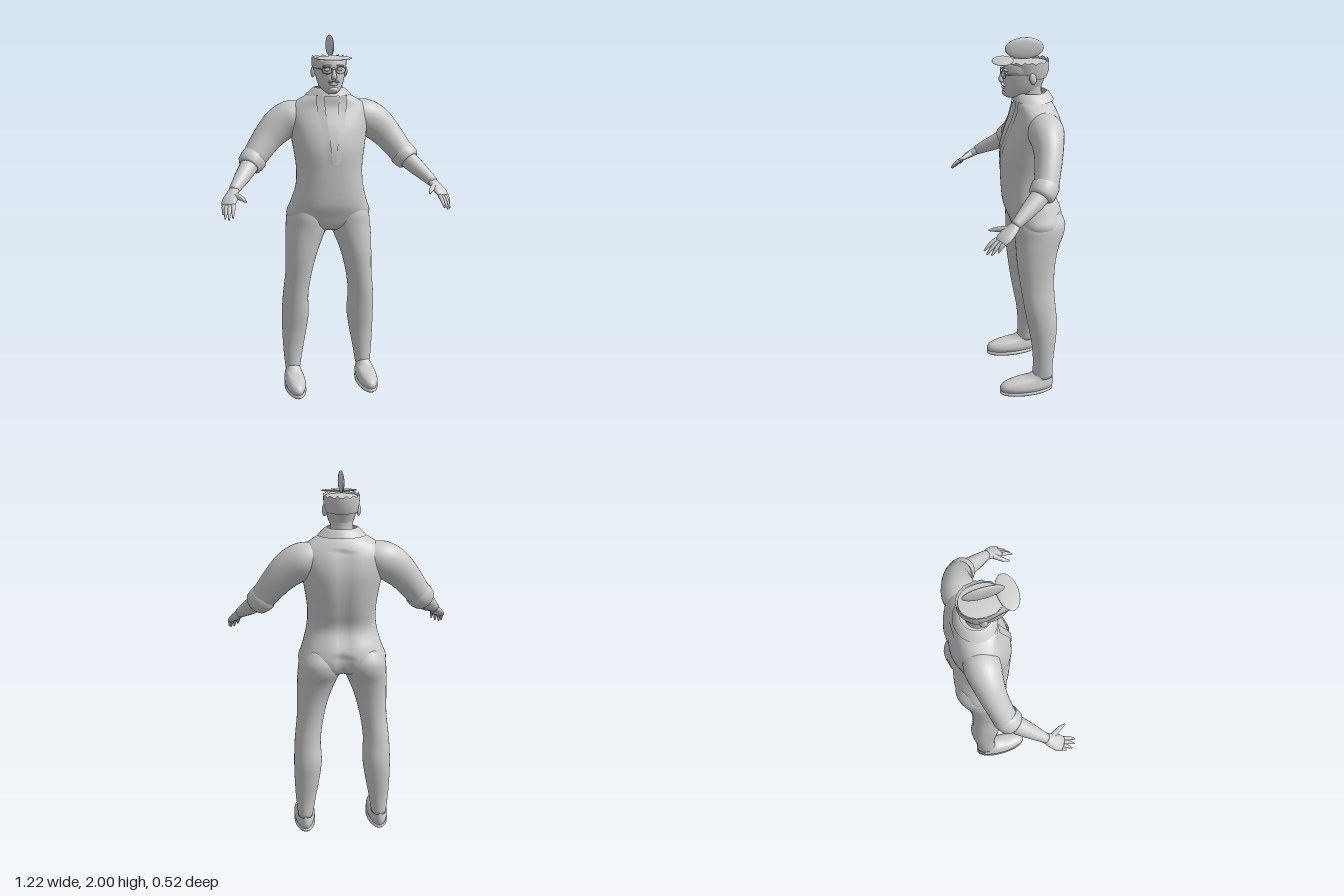
import * as THREE from 'three';

const grey = new THREE.MeshStandardMaterial({ color: 0xcccccc, side: THREE.DoubleSide });
grey.name = 'light grey';
const V = (x, y, z) => new THREE.Vector3(x, y, z);

function add(parent, name, geometry, pos = [0, 0, 0], scale = [1, 1, 1], rot = [0, 0, 0]) {
  const m = new THREE.Mesh(geometry, grey);
  m.name = name;
  m.position.set(...pos);
  m.scale.set(...scale);
  m.rotation.set(...rot);
  parent.add(m);
  return m;
}

// Skin over rings; each ring has centre c, axes u and v, and optional squareness e
function skin(rings, n, capped = true) {
  const pos = [], idx = [];
  for (const { c, u, v, e = 2 } of rings) {
    for (let j = 0; j < n; j++) {
      const t = (j / n) * Math.PI * 2, co = Math.cos(t), si = Math.sin(t);
      const p = c.clone()
        .addScaledVector(u, Math.sign(co) * Math.abs(co) ** (2 / e))
        .addScaledVector(v, Math.sign(si) * Math.abs(si) ** (2 / e));
      pos.push(p.x, p.y, p.z);
    }
  }
  for (let i = 0; i < rings.length - 1; i++) {
    for (let j = 0; j < n; j++) {
      const a = i * n + j, b = i * n + (j + 1) % n;
      idx.push(a, b, a + n, b, b + n, a + n);
    }
  }
  if (capped) {
    const last = rings.length - 1, k = rings.length * n;
    for (const r of [rings[0], rings[last]]) pos.push(r.c.x, r.c.y, r.c.z);
    for (let j = 0; j < n; j++) {
      const q = (j + 1) % n;
      idx.push(k, q, j, k + 1, last * n + j, last * n + q);
    }
  }
  const g = new THREE.BufferGeometry();
  g.setAttribute('position', new THREE.Float32BufferAttribute(pos, 3));
  g.setIndex(idx);
  g.computeVertexNormals();
  return g;
}

// Smoothly resample rows of numbers
function resample(rows, steps) {
  if (steps < 2) return rows;
  const out = [], at = i => rows[Math.max(0, Math.min(rows.length - 1, i))];
  for (let i = 0; i < rows.length - 1; i++) {
    for (let s = 0; s < steps; s++) {
      const t = s / steps;
      out.push(rows[i].map((p, k) => {
        const m0 = (at(i + 1)[k] - at(i - 1)[k]) / 2, m1 = (at(i + 2)[k] - p) / 2, q = at(i + 1)[k];
        return (2 * t ** 3 - 3 * t * t + 1) * p + (t ** 3 - 2 * t * t + t) * m0
          + (3 * t * t - 2 * t ** 3) * q + (t ** 3 - t * t) * m1;
      }));
    }
  }
  out.push(rows[rows.length - 1]);
  return out;
}

// Upright body from rows [y, centre x, half width, front z, back z]
function upright(rows, n = 32, steps = 4, e = 2, capped = true) {
  return skin(resample(rows, steps).map(([y, x, a, f, b]) => ({
    c: V(x, y, (f + b) / 2), u: V(a, 0, 0), v: V(0, 0, (b - f) / 2), e,
  })), n, capped);
}

// Limb along rows [x, y, z, radius along hint, radius across]
function limb(rows, hint, n = 20, steps = 4, capped = true) {
  const r = resample(rows, steps);
  return skin(r.map(([x, y, z, a, b], i) => {
    const p = r[Math.max(0, i - 1)], q = r[Math.min(r.length - 1, i + 1)];
    const t = V(q[0] - p[0], q[1] - p[1], q[2] - p[2]).normalize();
    const u = hint.clone().addScaledVector(t, -hint.dot(t)).normalize();
    return { c: V(x, y, z), v: t.clone().cross(u).multiplyScalar(b), u: u.multiplyScalar(a) };
  }), n, capped);
}

function makeTorso() {
  const g = upright([
    [0.94, 0, 0.12, -0.04, -0.17], [0.97, 0, 0.19, 0.0, -0.235], [1.03, 0, 0.235, 0.025, -0.26],
    [1.1, 0, 0.212, 0.05, -0.25], [1.2, 0, 0.186, 0.06, -0.208], [1.3, 0, 0.182, 0.065, -0.23],
    [1.4, 0, 0.195, 0.065, -0.25], [1.5, 0, 0.212, 0.042, -0.257], [1.58, 0, 0.222, 0.01, -0.242],
    [1.63, 0, 0.2, -0.008, -0.222], [1.67, 0, 0.145, -0.01, -0.2], [1.7, 0, 0.08, -0.015, -0.17],
  ], 48, 4, 2.3);
  // Groove down the spine, deeper at the seat
  const p = g.attributes.position;
  for (let i = 0; i < p.count; i++) {
    const y = p.getY(i);
    if (p.getZ(i) < -0.15 && y < 1.62) {
      p.setZ(i, p.getZ(i) + (y < 1.08 ? 0.03 : 0.012) * Math.exp(-((p.getX(i) / 0.035) ** 2)));
    }
  }
  g.computeVertexNormals();
  return g;
}

function makeHead() {
  const head = new THREE.Group();
  head.name = 'head';
  const ball = new THREE.SphereGeometry(1, 24, 16);
  add(head, 'neck', upright([[1.64, 0, 0.068, -0.02, -0.17], [1.71, 0, 0.058, -0.03, -0.15],
    [1.77, 0, 0.06, -0.03, -0.15]], 24));
  add(head, 'face', upright([
    [1.7, 0, 0.022, 0.035, -0.04], [1.712, 0, 0.04, 0.05, -0.1], [1.735, 0, 0.058, 0.052, -0.14],
    [1.77, 0, 0.071, 0.05, -0.155], [1.81, 0, 0.08, 0.048, -0.17], [1.85, 0, 0.086, 0.046, -0.18],
    [1.875, 0, 0.084, 0.04, -0.178]], 32, 3, 2.2));
  add(head, 'nose', limb([[0, 1.835, 0.045, 0.008, 0.008], [0, 1.81, 0.058, 0.01, 0.011],
    [0, 1.79, 0.062, 0.015, 0.012], [0, 1.781, 0.053, 0.01, 0.007]], V(1, 0, 0), 14));
  add(head, 'lips', ball, [0, 1.752, 0.05], [0.022, 0.007, 0.009]);
  add(head, 'chin', ball, [0, 1.724, 0.04], [0.027, 0.018, 0.017]);
  // Cropped hair with a ragged rim
  const hair = upright([[1.8, 0, 0.081, 0.0, -0.173], [1.84, 0, 0.091, 0.02, -0.187],
    [1.888, 0, 0.094, 0.03, -0.186]], 40, 1, 2.1, false);
  const p = hair.attributes.position;
  for (let i = 80; i < 120; i++) p.setY(i, 1.886 + 0.007 * Math.sin(i * 2.3));
  hair.computeVertexNormals();
  add(head, 'hair', hair);
  for (const s of [1, -1]) {
    add(head, 'ear', ball, [s * 0.087, 1.808, -0.085], [0.012, 0.03, 0.019], [0.15, s * 0.3, 0]);
    add(head, 'moustache', ball, [s * 0.014, 1.769, 0.053], [0.018, 0.006, 0.009], [0, s * 0.3, -s * 0.3]);
    add(head, 'eye', ball, [s * 0.033, 1.828, 0.041], [0.014, 0.009, 0.007]);
    add(head, 'eyebrow', ball, [s * 0.035, 1.847, 0.044], [0.022, 0.005, 0.008], [0, s * 0.3, -s * 0.1]);
    add(head, 'spectacleRim', new THREE.TorusGeometry(0.024, 0.0025, 8, 24),
      [s * 0.036, 1.825, 0.056], [1.1, 0.75, 1], [0, s * 0.2, 0]);
    add(head, 'spectacleArm', limb([[s * 0.062, 1.832, 0.053, 0.002, 0.003],
      [s * 0.09, 1.83, -0.08, 0.002, 0.003]], V(1, 0, 0), 8, 1));
  }
  add(head, 'spectacleBridge', new THREE.BoxGeometry(0.022, 0.004, 0.004), [0, 1.83, 0.059]);
  // Flat oval visor and upright oval crest
  add(head, 'visor', ball, [0, 1.887, 0.053], [0.096, 0.008, 0.053], [0.12, 0, 0]);
  add(head, 'crest', ball, [0, 1.945, -0.06], [0.014, 0.055, 0.1]);
  return head;
}

function makeArm(s) {
  const arm = new THREE.Group();
  arm.name = s > 0 ? 'leftArm' : 'rightArm';
  const side = rows => rows.map(([x, ...r]) => [s * x, ...r]);
  const fwd = V(0, 0, 1);
  add(arm, 'sleeve', limb(side([[0.13, 1.58, -0.125, 0.08, 0.075], [0.2, 1.56, -0.128, 0.092, 0.096],
    [0.27, 1.52, -0.122, 0.08, 0.094], [0.34, 1.45, -0.107, 0.068, 0.08],
    [0.42, 1.345, -0.075, 0.062, 0.066]]), fwd, 28));
  add(arm, 'cuff', limb(side([[0.4, 1.366, -0.08, 0.06, 0.062], [0.408, 1.358, -0.077, 0.07, 0.073],
    [0.44, 1.325, -0.05, 0.066, 0.068], [0.446, 1.318, -0.044, 0.05, 0.052]]), fwd, 28, 2));
  add(arm, 'forearm', limb(side([[0.42, 1.345, -0.07, 0.05, 0.05], [0.46, 1.302, -0.015, 0.046, 0.047],
    [0.5, 1.262, 0.045, 0.037, 0.038], [0.54, 1.222, 0.105, 0.024, 0.027]]), fwd));
  // Flat palm, spread fingers and thumb
  const across = V(-s * 0.85, 0.1, 0.5);
  add(arm, 'palm', limb(side([[0.53, 1.232, 0.09, 0.022, 0.022], [0.55, 1.205, 0.125, 0.036, 0.021],
    [0.567, 1.18, 0.16, 0.043, 0.018], [0.577, 1.162, 0.182, 0.036, 0.012]]), across));
  [[0.549, 1.167, 0.195, 0.558, 1.115, 0.258], [0.566, 1.163, 0.188, 0.578, 1.104, 0.25],
    [0.582, 1.16, 0.178, 0.596, 1.105, 0.23], [0.595, 1.162, 0.167, 0.603, 1.12, 0.198],
  ].forEach(([x, y, z, X, Y, Z]) => add(arm, 'finger', limb(side([
    [x, y, z, 0.011, 0.011], [(x + X) / 2, (y + Y) / 2 + 0.006, (z + Z) / 2, 0.01, 0.01],
    [X, Y, Z, 0.004, 0.004]]), across, 10)));
  add(arm, 'thumb', limb(side([[0.545, 1.21, 0.12, 0.017, 0.016], [0.515, 1.2, 0.165, 0.015, 0.013],
    [0.497, 1.193, 0.195, 0.011, 0.01], [0.487, 1.187, 0.222, 0.004, 0.004]]), V(0, 1, 0), 12));
  return arm;
}

function makeLeg(s) {
  const leg = new THREE.Group();
  leg.name = s > 0 ? 'leftLeg' : 'rightLeg';
  // Rows are [y, inner x, outer x, front z, back z]
  const span = rows => rows.map(([y, i, o, f, b]) => [y, s * (i + o) / 2, (o - i) / 2, f, b]);
  add(leg, 'trouserLeg', upright(span([
    [0.09, 0.168, 0.252, -0.07, -0.188], [0.2, 0.15, 0.262, -0.075, -0.19], [0.32, 0.128, 0.267, -0.066, -0.203],
    [0.43, 0.114, 0.268, -0.046, -0.212], [0.55, 0.118, 0.262, -0.025, -0.2], [0.68, 0.1, 0.248, -0.006, -0.193],
    [0.8, 0.07, 0.245, 0.008, -0.202], [0.9, 0.032, 0.243, 0.012, -0.225], [0.97, 0.004, 0.238, 0.015, -0.255],
    [1.03, 0.006, 0.23, 0.018, -0.26], [1.09, 0.03, 0.2, 0.01, -0.23]]), 32, 4, 2.1));
  add(leg, 'sole', upright(span([[0, 0.158, 0.262, 0.11, -0.18], [0.008, 0.15, 0.27, 0.12, -0.19],
    [0.02, 0.15, 0.27, 0.12, -0.19], [0.024, 0.16, 0.26, 0.11, -0.18]]), 32, 1));
  add(leg, 'shoe', upright(span([[0.02, 0.16, 0.262, 0.112, -0.185], [0.045, 0.152, 0.27, 0.12, -0.192],
    [0.07, 0.157, 0.264, 0.1, -0.192], [0.088, 0.165, 0.256, 0.045, -0.19],
    [0.1, 0.17, 0.252, -0.03, -0.188], [0.13, 0.175, 0.245, -0.08, -0.182]]), 32));
  return leg;
}

export function createModel() {
  const model = new THREE.Group();
  model.name = 'standingMan';
  add(model, 'torso', makeTorso());
  add(model, 'collar', upright([[1.725, 0, 0.078, -0.02, -0.175], [1.718, 0, 0.09, -0.008, -0.19],
    [1.685, 0, 0.125, 0.004, -0.212]].reverse(), 36, 2, 2, false));
  for (const s of [1, -1]) {
    // Long lapel following the chest
    const pos = [], idx = [];
    [[1.33, 0.008, 0.036, 0.072], [1.42, 0.017, 0.05, 0.072], [1.5, 0.024, 0.062, 0.048],
      [1.58, 0.032, 0.073, 0.017], [1.64, 0.037, 0.081, -0.002], [1.69, 0.04, 0.08, -0.006],
    ].forEach(([y, a, b, z], i) => {
      pos.push(s * a, y, z, s * b, y, z - 0.006);
      const k = i * 2 - 2;
      if (i) idx.push(...(s > 0 ? [k, k + 1, k + 2, k + 1, k + 3, k + 2] : [k, k + 2, k + 1, k + 1, k + 2, k + 3]));
    });
    const g = new THREE.BufferGeometry();
    g.setAttribute('position', new THREE.Float32BufferAttribute(pos, 3));
    g.setIndex(idx);
    g.computeVertexNormals();
    add(model, 'lapel', g);
    model.add(makeArm(s), makeLeg(s));
  }
  model.add(makeHead());
  return model;
}
